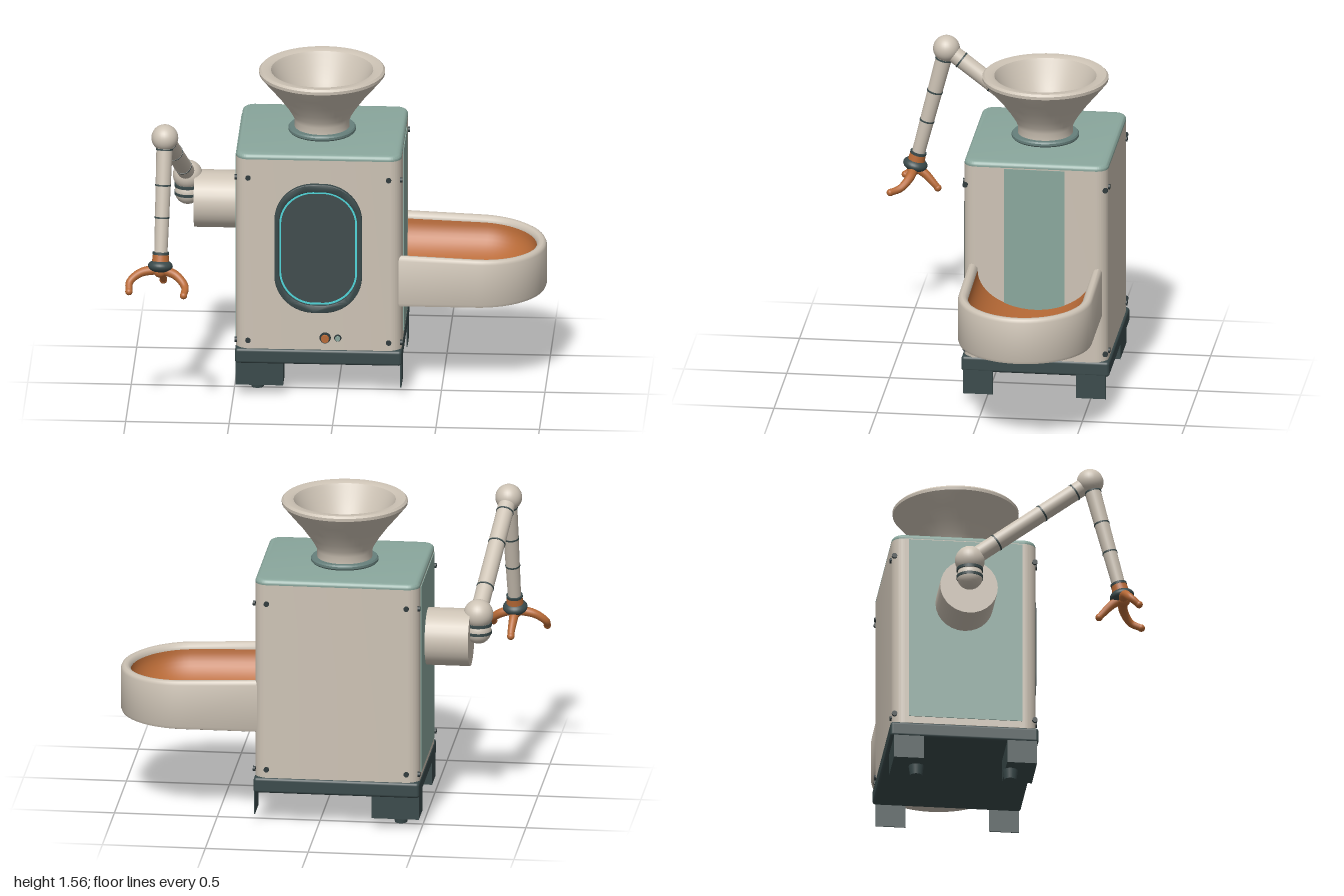
import * as THREE from 'three';
import { toCreasedNormals, mergeVertices } from 'three/addons/utils/BufferGeometryUtils.js';
import { RoundedBoxGeometry } from 'three/addons/geometries/RoundedBoxGeometry.js';

const mat = (name, color) => {
  const m = new THREE.MeshStandardMaterial({ color });
  m.name = name;
  return m;
};
const V = (x, y, z) => new THREE.Vector3(x, y, z);

// Rounded rectangle with half width a, half height b and corner radius r
function roundRect(a, b, r, Type = THREE.Shape) {
  const s = new Type();
  s.moveTo(a, -b + r);
  s.absarc(a - r, b - r, r, 0, Math.PI / 2);
  s.absarc(-a + r, b - r, r, Math.PI / 2, Math.PI);
  s.absarc(-a + r, -b + r, r, Math.PI, Math.PI * 1.5);
  s.absarc(a - r, -b + r, r, Math.PI * 1.5, Math.PI * 2);
  return s;
}

const extrude = (shape, depth, bevel = 0) => toCreasedNormals(new THREE.ExtrudeGeometry(shape, {
  depth, curveSegments: 16, bevelEnabled: bevel > 0, bevelSize: bevel,
  bevelThickness: bevel, bevelOffset: -bevel, bevelSegments: 4,
}), 0.6);

// Sweep a (radius, height) profile round the U-shaped outline of the tray
function trayGeometry(profile) {
  const x0 = 0.28, x1 = 0.67, arc = 32, n = arc + 3;
  const pos = [], idx = [];
  for (const [r, y] of profile) {
    for (let i = 0; i < n; i++) {
      const end = i === 0 || i === n - 1;
      const a = Math.PI / 2 - Math.PI * Math.min(Math.max((i - 1) / arc, 0), 1);
      const x = end ? x0 : x1 + r * Math.cos(a);
      // the rim drops gently away from the body
      pos.push(x, y - 0.04 * (x - x0) * (y - 0.455) / 0.26, r * Math.sin(a) - 0.245);
    }
  }
  for (let j = 0; j < profile.length - 1; j++) {
    for (let i = 0; i < n - 1; i++) {
      const a = j * n + i, b = a + 1, c = b + n, d = a + n;
      idx.push(a, b, c, a, c, d);
    }
  }
  const g = new THREE.BufferGeometry();
  g.setAttribute('position', new THREE.Float32BufferAttribute(pos, 3));
  g.setIndex(idx);
  return toCreasedNormals(g, 0.7);
}

// Tube along a curve whose radius shrinks towards the tip
function taperedTube(points, r0, r1) {
  const curve = new THREE.CatmullRomCurve3(points);
  const seg = 20, rad = 12;
  const g = new THREE.TubeGeometry(curve, seg, 1, rad);
  const p = g.attributes.position, v = new THREE.Vector3();
  for (let i = 0; i < p.count; i++) {
    const t = Math.floor(i / (rad + 1)) / seg;
    const c = curve.getPointAt(t);
    v.fromBufferAttribute(p, i).sub(c).multiplyScalar(r0 + (r1 - r0) * t).add(c);
    p.setXYZ(i, v.x, v.y, v.z);
  }
  return g;
}

export function createModel() {
  const root = new THREE.Group();
  root.name = 'kitchenMachine';
  const cream = mat('cream', 0xcdc3b5);
  const sage = mat('sage', 0x8aa79d);
  const slate = mat('slate', 0x3a4a4b);
  const collarTeal = mat('collarTeal', 0x66807c);
  const glass = mat('glass', 0x404c4d);
  const cyan = mat('cyan', 0x4fd6da);
  const copper = mat('copper', 0xb86a36);
  const bolt = mat('bolt', 0x2f3a3c);

  const add = (name, geo, m, x = 0, y = 0, z = 0) => {
    const mesh = new THREE.Mesh(geo, m);
    mesh.name = name;
    mesh.position.set(x, y, z);
    root.add(mesh);
    return mesh;
  };
  // Cylinder running from a to b
  const rod = (name, a, b, ra, rb, m) => {
    const mesh = add(name, new THREE.CylinderGeometry(rb, ra, a.distanceTo(b), 28), m);
    mesh.position.copy(a).lerp(b, 0.5);
    mesh.quaternion.setFromUnitVectors(V(0, 1, 0), b.clone().sub(a).normalize());
    return mesh;
  };
  const ball = (name, p, r, m) => add(name, new THREE.SphereGeometry(r, 28, 20), m, p.x, p.y, p.z);

  const CX = -0.09, CZ = -0.247;

  // Body and coloured lid
  const upright = (shape, d, bevel) => extrude(shape, d, bevel).rotateX(-Math.PI / 2);
  add('body', upright(roundRect(0.4, 0.35, 0.06), 0.98), cream, CX, 0.235, CZ);
  add('lid', upright(roundRect(0.4, 0.35, 0.06), 0.005, 0.02), sage, CX, 1.215, CZ);

  // Side panels
  add('leftPanel', new THREE.BoxGeometry(0.006, 0.94, 0.295), sage, 0.311, 0.74, -0.243);
  add('rightPanel', new THREE.BoxGeometry(0.006, 0.94, 0.55), sage, -0.491, 0.74, -0.243);

  // Base with two block legs and two thin plate legs
  add('base', new RoundedBoxGeometry(0.806, 0.077, 0.72, 4, 0.015), slate, CX, 0.2, CZ);
  for (const z of [0.032, -0.518]) {
    add('blockLeg', new THREE.BoxGeometry(0.23, 0.16, 0.145), slate, -0.375, 0.13, z);
    add('plateLeg', new THREE.BoxGeometry(0.006, 0.17, 0.145), slate, 0.309, 0.135, z);
  }
  for (const z of [-0.015, -0.472]) {
    add('foot', new THREE.CylinderGeometry(0.037, 0.03, 0.052, 24), slate, -0.39, 0.026, z);
  }

  // Corner bolts on all four sides
  for (const y of [0.28, 1.12]) {
    for (const s of [-1, 1]) {
      for (const t of [-1, 1]) {
        const f = new THREE.CylinderGeometry(0.013, 0.013, 0.012, 16);
        add('faceBolt', f.clone().rotateX(Math.PI / 2), bolt, CX + s * 0.34, y, CZ + t * 0.351);
        add('sideBolt', f.rotateZ(Math.PI / 2), bolt, CX + s * 0.4, y, CZ + t * 0.341);
      }
    }
  }

  // Front window: raised frame, glass and glowing line
  const frame = roundRect(0.212, 0.331, 0.19);
  frame.holes.push(roundRect(0.19, 0.293, 0.17, THREE.Path));
  add('windowFrame', extrude(frame, 0.018, 0.004), slate, CX, 0.765, 0.101);
  add('windowGlass', extrude(roundRect(0.195, 0.3, 0.17), 0.008), glass, CX, 0.765, 0.101);
  const line = roundRect(0.188, 0.291, 0.168);
  line.holes.push(roundRect(0.179, 0.282, 0.159, THREE.Path));
  add('windowLight', extrude(line, 0.004), cyan, CX, 0.765, 0.108);

  // Control knobs
  const knob = (name, r, h, m, x) =>
    add(name, new THREE.CylinderGeometry(r * 0.9, r, h, 24).rotateX(Math.PI / 2), m, x, 0.3, 0.102 + h / 2);
  knob('knobRing', 0.028, 0.012, bolt, -0.057);
  knob('knob', 0.021, 0.024, copper, -0.057);
  knob('buttonRing', 0.018, 0.008, bolt, 0.004);
  knob('button', 0.013, 0.016, sage, 0.004);

  // Hopper and its collar
  const lathe = (pts) => toCreasedNormals(
    new THREE.LatheGeometry(pts.map(([r, y]) => new THREE.Vector2(r, y)), 56), 0.6);
  add('hopperCollar', lathe([[0.12, 1.24], [0.157, 1.24], [0.163, 1.247], [0.163, 1.258],
    [0.157, 1.265], [0.12, 1.265], [0.12, 1.24]]), collarTeal, CX, 0, CZ);
  add('hopper', lathe([[0.133, 1.26], [0.133, 1.3], [0.143, 1.325], [0.168, 1.365], [0.21, 1.422],
    [0.255, 1.475], [0.292, 1.52], [0.304, 1.535], [0.305, 1.55], [0.295, 1.56], [0.262, 1.56],
    [0.247, 1.553], [0.24, 1.54], [0.215, 1.49], [0.175, 1.42], [0.135, 1.355],
    [0.117, 1.31], [0.115, 1.24]]), cream, CX, 0, CZ);

  // Side tray with a scooped lining
  add('trayShell', trayGeometry([[0, 0.455], [0.308, 0.455], [0.321, 0.46], [0.326, 0.475],
    [0.326, 0.695], [0.32, 0.71], [0.308, 0.717], [0.293, 0.714], [0.28, 0.7], [0.278, 0.685]]), cream);
  const bowl = [];
  for (let i = 0; i <= 14; i++) {
    const a = (i / 14) * Math.PI / 2;
    bowl.push([0.278 * Math.cos(a), 0.685 - 0.19 * Math.sin(a)]);
  }
  add('trayLining', trayGeometry(bowl), copper);

  // Shoulder
  rod('shoulderDrum', V(-0.48, 0.875, -0.25), V(-0.705, 0.875, -0.25), 0.14, 0.14, cream);
  ball('shoulderLower', V(-0.74, 0.91, -0.25), 0.063, cream);
  rod('shoulderNeck', V(-0.74, 0.91, -0.25), V(-0.74, 0.99, -0.25), 0.058, 0.058, cream);
  ball('shoulderBall', V(-0.74, 0.995, -0.25), 0.072, cream);
  for (const y of [0.905, 0.945]) {
    rod('shoulderRing', V(-0.74, y - 0.007, -0.25), V(-0.74, y + 0.007, -0.25), 0.065, 0.065, slate);
  }

  // Arm segments with dark bands
  const shoulder = V(-0.74, 1.0, -0.25), elbow = V(-0.82, 1.405, 0.325), wrist = V(-0.832, 0.86, 0.463);
  const limb = (name, a, b, ra, rb, bands) => {
    rod(name, a, b, ra, rb, cream);
    for (const t of bands) {
      const r = ra + (rb - ra) * t + 0.002, d = 0.004 / a.distanceTo(b);
      rod(name + 'Band', a.clone().lerp(b, t - d), a.clone().lerp(b, t + d), r, r, slate);
    }
  };
  limb('upperArm', elbow, shoulder, 0.041, 0.041, [0.13, 0.4, 0.78]);
  limb('forearm', elbow, wrist, 0.04, 0.032, [0.1, 0.41, 0.69]);
  ball('elbowBall', elbow, 0.065, cream);

  // Wrist
  const dir = wrist.clone().sub(elbow).normalize();
  const along = (d) => wrist.clone().addScaledVector(dir, d);
  rod('wristBand', along(-0.006), along(0.006), 0.04, 0.04, slate);
  rod('wristCuff', along(0.004), along(0.045), 0.038, 0.042, copper);
  const hub = ball('handHub', along(0.062), 0.06, slate);
  hub.scale.y = 0.55;
  hub.quaternion.setFromUnitVectors(V(0, -1, 0), dir);
  ball('palm', along(0.085), 0.034, copper);

  // Three curved claws
  const claws = [
    [V(-0.845, 0.785, 0.482), V(-0.93, 0.765, 0.485), V(-0.98, 0.725, 0.505), V(-0.982, 0.69, 0.545)],
    [V(-0.82, 0.785, 0.485), V(-0.755, 0.757, 0.495), V(-0.712, 0.715, 0.535), V(-0.716, 0.69, 0.585)],
    [V(-0.833, 0.785, 0.475), V(-0.83, 0.753, 0.43), V(-0.825, 0.705, 0.385), V(-0.825, 0.685, 0.368)],
  ];
  for (const pts of claws) {
    add('claw', taperedTube(pts, 0.025, 0.016), copper);
    ball('clawTip', pts[3], 0.018, copper);
  }
  return root;
}
